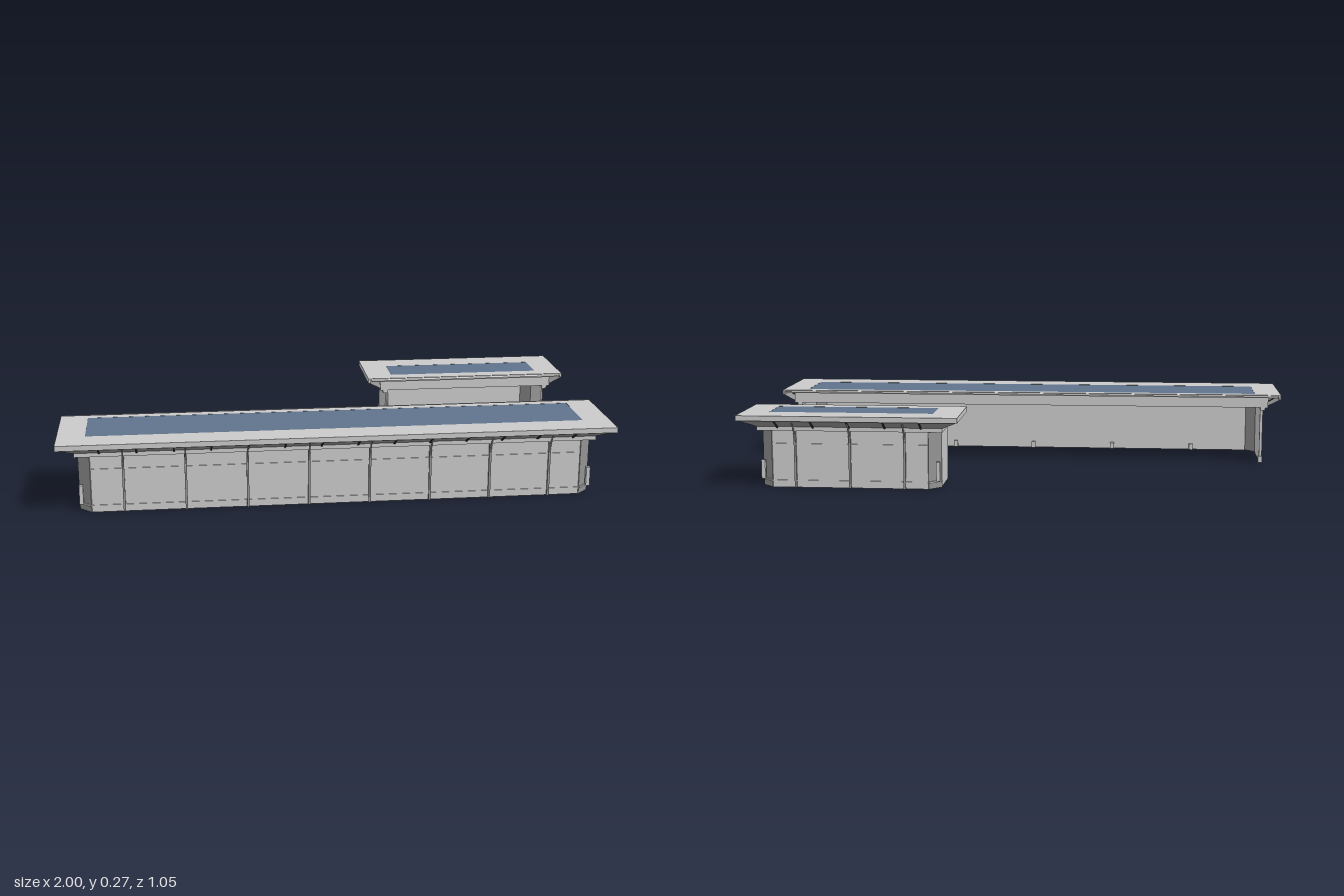
import * as THREE from 'three';

const mat = (name, color, side = THREE.FrontSide) => {
  const m = new THREE.MeshStandardMaterial({ color, side });
  m.name = name;
  return m;
};

export function createModel() {
  const light = mat('light grey panel', 0xcacaca);
  const lightThin = mat('light grey sheet', 0xcacaca, THREE.DoubleSide);
  const dark = mat('mid grey metal', 0x929292, THREE.DoubleSide);
  const black = mat('dark rib', 0x303030);
  const blue = mat('blue glass', 0x60738c, THREE.DoubleSide);

  // One open-sided shelter, its closed long wall facing +z.
  // hw: roof half length, open: z of the open roof edge
  function shelter(name, hw, open, glass, posts, feet, ribs, sideRibs, braced) {
    const g = new THREE.Group();
    g.name = name;
    const add = (n, geo, m, x = 0, y = 0, z = 0) => {
      const mesh = new THREE.Mesh(geo, m);
      mesh.name = n;
      mesh.position.set(x, y, z);
      g.add(mesh);
      return mesh;
    };
    // Box given by its limits
    const box = (n, m, x0, x1, y0, y1, z0, z1) =>
      add(n, new THREE.BoxGeometry(x1 - x0, y1 - y0, z1 - z0), m, (x0 + x1) / 2, (y0 + y1) / 2, (z0 + z1) / 2);
    // Thin bar between two points
    const bar = (n, m, a, b, w) => {
      const p = new THREE.Vector3(...a), q = new THREE.Vector3(...b);
      const mesh = add(n, new THREE.BoxGeometry(w, w, p.distanceTo(q)), m);
      mesh.position.copy(p).lerp(q, 0.5);
      mesh.lookAt(q);
      return mesh;
    };
    const wall = hw - 0.072, back = 0.455, zw = open + 0.012, c = 0.043;

    // Roof plate with a glazed opening
    const [gx, g0, g1] = glass;
    const plate = new THREE.Shape([[-hw, -0.525], [hw, -0.525], [hw, -open], [-hw, -open]].map(p => new THREE.Vector2(...p)));
    plate.holes.push(new THREE.Path([[-gx, -g1], [-gx, -g0], [gx, -g0], [gx, -g1]].map(p => new THREE.Vector2(...p))));
    const roof = add('roofPlate', new THREE.ExtrudeGeometry(plate, { depth: 0.008, bevelEnabled: false }), light, 0, 0.264, 0);
    roof.rotation.x = -Math.PI / 2;
    box('skylight', blue, -gx, gx, 0.266, 0.2715, g0, g1);

    // Fascia, open-side beam and lip
    box('frontFascia', light, -hw, hw, 0.253, 0.264, 0.517, 0.525);
    box('openBeam', light, -hw + 0.05, hw - 0.05, 0.222, 0.264, open, open + 0.008);
    const lip = box('roofLip', light, -hw + 0.012, hw - 0.012, 0.264, 0.269, open - 0.02, open);
    lip.rotation.x = -0.12;

    // Sloped soffit on three sides
    const o = hw - 0.005, i = hw - 0.062;
    const quads = [
      [[-o, 0.253, 0.52], [-i, 0.224, 0.465], [i, 0.224, 0.465], [o, 0.253, 0.52]],
      [[o, 0.253, 0.52], [i, 0.224, 0.465], [i, 0.224, open], [o, 0.253, open]],
      [[-o, 0.253, open], [-i, 0.224, open], [-i, 0.224, 0.465], [-o, 0.253, 0.52]],
    ];
    const pos = quads.flatMap(([a, b, d, e]) => [a, b, d, a, d, e]).flat();
    const soffit = new THREE.BufferGeometry();
    soffit.setAttribute('position', new THREE.Float32BufferAttribute(pos, 3));
    soffit.computeVertexNormals();
    add('soffit', soffit, dark);
    for (const x of ribs) bar('soffitRib', black, [x, 0.252, 0.517], [x, 0.223, 0.466], 0.006);

    // Long wall with transom rails
    box('longWall', light, -wall + c, wall - c, 0, 0.212, back - 0.006, back);
    box('upperRail', light, -wall + c, wall - c, 0.157, 0.162, back, back + 0.003);
    box('lowerRail', light, -wall + c, wall - c, 0.022, 0.027, back, back + 0.003);
    box('frontHeader', light, -wall - 0.01, wall + 0.01, 0.21, 0.226, back - 0.008, 0.467);

    // Wall posts with curved roof brackets
    for (const x of posts) {
      box('wallPost', dark, x - 0.004, x + 0.004, 0, 0.21, back, back + 0.008);
      const curve = new THREE.QuadraticBezierCurve3(
        new THREE.Vector3(x, 0.155, back + 0.004),
        new THREE.Vector3(x, 0.21, back + 0.01),
        new THREE.Vector3(x, 0.246, 0.507));
      add('roofBracket', new THREE.TubeGeometry(curve, 8, 0.003, 5), light);
    }
    for (const x of feet) box('wallFoot', light, x - 0.008, x + 0.008, 0, 0.025, back - 0.02, back - 0.006);

    for (const s of [-1, 1]) {
      const side = (n, m, xa, xb, y0, y1, z0, z1) =>
        box(n, m, Math.min(s * xa, s * xb), Math.max(s * xa, s * xb), y0, y1, z0, z1);
      // End wall, fascia and header
      side('endWall', light, wall - 0.006, wall, 0, 0.212, zw, back - c);
      side('endFascia', light, hw - 0.008, hw, 0.253, 0.264, open, 0.517);
      side('endHeader', light, wall - 0.008, wall + 0.011, 0.21, 0.226, open, 0.467);
      for (const z of sideRibs) bar('soffitRib', black, [s * (hw - 0.008), 0.252, z], [s * i, 0.223, z], 0.006);
      if (braced) {
        side('endRail', dark, wall, wall + 0.003, 0.158, 0.163, zw, back - c);
        side('endPost', light, wall - 0.008, wall + 0.003, 0, 0.21, zw, zw + 0.01);
        side('endFoot', light, wall - 0.012, wall + 0.005, 0, 0.025, zw - 0.006, zw + 0.012);
        bar('endBrace', light, [s * wall, 0.165, back - c - 0.003], [s * wall, 0.21, 0.355], 0.004);
        bar('endBrace', light, [s * wall, 0.165, zw + 0.012], [s * wall, 0.21, 0.24], 0.004);
      }
      // Chamfered corner panel with a small cabinet and rail
      const cx = s * (wall - c / 2), cz = back - c / 2, turn = s * Math.PI / 4;
      const len = c * Math.SQRT2;
      const corner = add('cornerPanel', new THREE.BoxGeometry(len, 0.212, 0.005), dark, cx, 0.106, cz);
      const rail = add('cornerRail', new THREE.BoxGeometry(len, 0.006, 0.008), light, cx + s * 0.002, 0.025, cz + 0.002);
      corner.rotation.y = rail.rotation.y = turn;
      side('cornerCabinet', lightThin, wall - 0.014, wall, 0.03, 0.1, back - 0.016, back);
    }
    return g;
  }

  const spread = (n, step) => Array.from({ length: n }, (_, k) => (k - (n - 1) / 2) * step);
  const model = new THREE.Group();
  model.name = 'platformShelters';
  model.add(shelter('longShelter', 1, 0.16, [0.9, 0.195, 0.42],
    spread(8, 0.22), spread(5, 0.33), spread(14, 0.131), [0.25, 0.385], true));
  const short = shelter('shortShelter', 0.4, 0.232, [0.3, 0.285, 0.425],
    spread(3, 0.2), [], spread(5, 0.131), [0.385], false);
  short.rotation.y = Math.PI;
  short.position.x = 0.6;
  model.add(short);
  return model;
}
